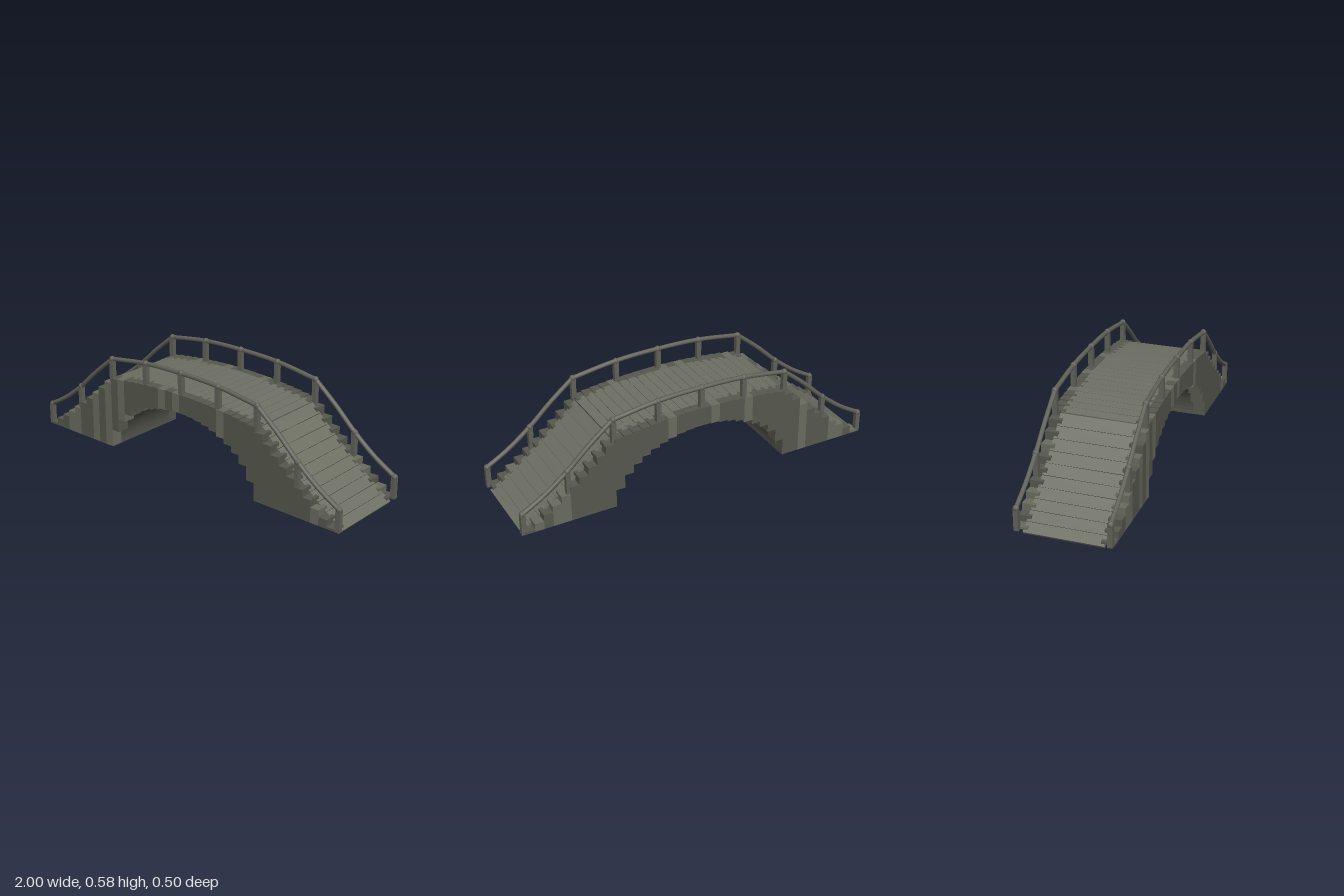
import * as THREE from 'three';

const HALF = 0.49;   // half width of the arch and of the level deck
const STEP = 0.049;  // width of one stone column or plank
const BASE = 0.02;

const mat = (name, color) => {
  const m = new THREE.MeshStandardMaterial({ color });
  m.name = name;
  return m;
};

// Height of the walking surface
function deckY(x) {
  const a = Math.abs(x);
  if (a <= HALF) return 0.45 - 0.04 * (a / HALF) ** 2;
  const t = (a - HALF) / 0.495;
  return 0.41 - 0.475 * t + 0.078 * t * t;
}

// Height of the underside of the arch
function archY(x, rise = 0.33) {
  const a = Math.min(Math.abs(x) / HALF, 1);
  return BASE + rise * Math.sqrt(1 - a * a);
}

export function createModel() {
  const root = new THREE.Group();
  root.name = 'archedBridge';
  const darkStone = mat('dark stone', 0x56584e);
  const lightStone = mat('light stone', 0x6a6c5f);
  const deckStone = mat('deck grey', 0x6e7064);
  const railGrey = mat('rail grey', 0x606258);

  let seed = 7;
  const rand = () => (seed = (seed * 16807) % 2147483647) / 2147483647;

  const add = (parent, name, geometry, material, x = 0, y = 0, z = 0) => {
    const mesh = new THREE.Mesh(geometry, material);
    mesh.name = name;
    mesh.position.set(x, y, z);
    parent.add(mesh);
    return mesh;
  };

  // Core with the smooth vault
  const outline = [];
  for (let i = 0; i <= 40; i++) {
    const x = 0.97 - (i / 40) * 1.94;
    outline.push(new THREE.Vector2(x, Math.max(deckY(x) - 0.01, BASE + 0.002)));
  }
  outline.push(new THREE.Vector2(-0.97, BASE));
  for (let i = 0; i <= 48; i++) {
    const x = -HALF * Math.cos((i / 48) * Math.PI);
    outline.push(new THREE.Vector2(x, archY(x, 0.345)));
  }
  outline.push(new THREE.Vector2(0.97, BASE));
  const core = new THREE.ExtrudeGeometry(new THREE.Shape(outline), { depth: 0.372, bevelEnabled: false });
  core.translate(0, 0, -0.186);
  add(root, 'vaultCore', core, darkStone);

  // Side walls of stepped stone columns
  for (const side of [-1, 1]) {
    const wall = new THREE.Group();
    wall.name = side > 0 ? 'frontWall' : 'backWall';
    root.add(wall);
    for (let i = 0; i < 40; i++) {
      const x = (i - 19.5) * STEP;
      const bottom = Math.abs(x) < HALF ? archY(Math.abs(x) + 0.003) : BASE;
      const top = Math.max(deckY(x), BASE + 0.008);
      const light = i === 7 || rand() < 0.3;
      add(wall, 'stoneColumn', new THREE.BoxGeometry(STEP, top - bottom, 0.068),
        light ? lightStone : darkStone, x, (top + bottom) / 2, side * 0.216);
    }
  }

  // Deck planks laid along the slope
  const deck = new THREE.Group();
  deck.name = 'deck';
  root.add(deck);
  for (let i = 0; i < 40; i++) {
    const x0 = (i - 20) * STEP * 1.007, x1 = x0 + STEP * 1.007;
    const y0 = deckY(x0), y1 = deckY(x1);
    const length = Math.hypot(x1 - x0, y1 - y0);
    const plank = add(deck, 'plank', new THREE.BoxGeometry(length - 0.002, 0.014, 0.404),
      deckStone, (x0 + x1) / 2, (y0 + y1) / 2 - 0.006, 0);
    plank.rotation.z = Math.atan2(y1 - y0, x1 - x0);
    plank.rotation.x = (rand() - 0.5) * 0.006;
  }

  // Railings: posts, round knobs and a handrail in three bent lengths
  const posts = [[0, 0.56], [0.245, 0.552], [HALF, 0.518], [0.74, 0.3], [0.985, 0.132]];
  const ramp = [[HALF, 0.518], [0.62, 0.411], [0.74, 0.3], [0.87, 0.2], [0.985, 0.132]];
  const crown = [[-HALF, 0.518], [-0.245, 0.552], [0, 0.56], [0.245, 0.552], [HALF, 0.518]];
  const knobGeo = new THREE.SphereGeometry(0.016, 10, 8);
  for (const side of [-1, 1]) {
    const railing = new THREE.Group();
    railing.name = side > 0 ? 'frontRailing' : 'backRailing';
    railing.position.z = side * 0.232;
    root.add(railing);
    for (const [px, py] of posts) {
      const bottom = Math.max(deckY(px) - 0.02, 0.016);
      for (const x of px ? [-px, px] : [0]) {
        add(railing, 'post', new THREE.BoxGeometry(0.025, py - bottom, 0.025), railGrey, x, (py + bottom) / 2, 0);
        add(railing, 'knob', knobGeo, railGrey, x, py, 0);
      }
    }
    const lengths = [crown, ramp, ramp.map(([x, y]) => [-x, y])];
    for (const pts of lengths) {
      const curve = new THREE.CatmullRomCurve3(pts.map(([x, y]) => new THREE.Vector3(x, y, 0)));
      add(railing, 'handrail', new THREE.TubeGeometry(curve, 20, 0.012, 8), railGrey);
    }
  }
  return root;
}
